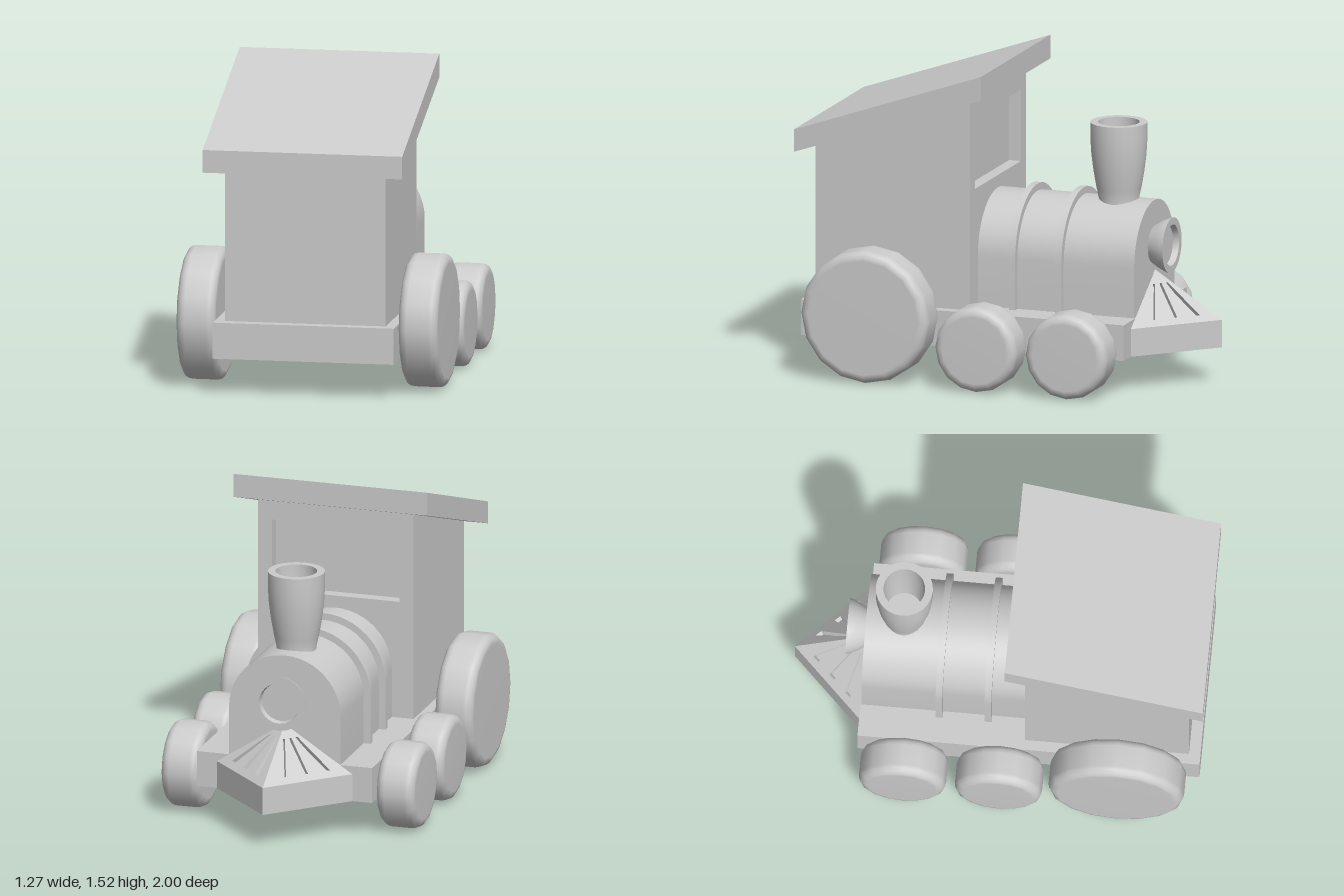
import * as THREE from 'three';
import { toCreasedNormals } from 'three/addons/utils/BufferGeometryUtils.js';
import { ConvexGeometry } from 'three/addons/geometries/ConvexGeometry.js';

const material = new THREE.MeshStandardMaterial({ color: 0xcccccc });
const V3 = (x, y, z) => new THREE.Vector3(x, y, z);
const polygon = (pts) => new THREE.Shape(pts.map(([x, y]) => new THREE.Vector2(x, y)));
const extrude = (shape, depth, curveSegments = 12) =>
  new THREE.ExtrudeGeometry(shape, { depth, bevelEnabled: false, curveSegments });

// Side outline given as [z, y], extruded across the full width
function sideProfile(pts, width) {
  return extrude(polygon(pts), width).rotateY(-Math.PI / 2).translate(width / 2, 0, 0);
}

function lathe(pts, segments, crease) {
  const geometry = new THREE.LatheGeometry(pts.map(([r, y]) => new THREE.Vector2(r, y)), segments);
  return crease ? toCreasedNormals(geometry, crease) : geometry;
}

// Round-topped section standing on the chassis, running along z
function archGeometry(radius, z, length) {
  const shape = new THREE.Shape();
  shape.moveTo(-radius, 0.34);
  shape.lineTo(radius, 0.34);
  shape.lineTo(radius, 0.59);
  shape.absarc(0, 0.59, radius, 0, Math.PI, false);
  shape.closePath();
  return toCreasedNormals(extrude(shape, length, 12), 0.6).translate(0, 0, z);
}

// Wheel with rounded rims, axis along x
function wheelGeometry(radius) {
  const half = 0.096, round = 0.045, pts = [[0, -half]];
  for (const side of [-1, 1]) {
    for (let i = 0; i <= 4; i++) {
      const a = (side < 0 ? i - 4 : i) * Math.PI / 8;
      pts.push([radius - round + round * Math.cos(a), side * (half - round) + round * Math.sin(a)]);
    }
  }
  pts.push([0, half]);
  return lathe(pts, 16).rotateZ(-Math.PI / 2);
}

// Slotted triangular plate: shape coordinates become weights of two edges from the apex
function slottedPlate(apex, p, q, depth) {
  const shape = polygon([[0, 0], [1, 0], [0, 1]]);
  const at = (r, f) => new THREE.Vector2(r * (1 - f), r * f);
  for (const f of [0.22, 0.5, 0.78]) {
    const w = 0.042;
    shape.holes.push(new THREE.Path([
      at(0.25, f - w), at(0.25, f + w), at(0.88, f + w), at(0.88, f - w),
    ]));
  }
  const geometry = extrude(shape, depth);
  const e1 = p.clone().sub(apex), e2 = q.clone().sub(apex);
  const normal = e1.clone().cross(e2).normalize();
  const pos = geometry.attributes.position;
  for (let i = 0; i < pos.count; i++) {
    const v = apex.clone().addScaledVector(e1, pos.getX(i)).addScaledVector(e2, pos.getY(i))
      .addScaledVector(normal, pos.getZ(i) - depth);
    pos.setXYZ(i, v.x, v.y, v.z);
  }
  geometry.computeVertexNormals();
  return geometry;
}

export function createModel() {
  const model = new THREE.Group();
  model.name = 'toyLocomotive';
  const add = (name, geometry, x = 0, y = 0, z = 0, parent = model) => {
    const mesh = new THREE.Mesh(geometry, material);
    mesh.name = name;
    mesh.position.set(x, y, z);
    parent.add(mesh);
    return mesh;
  };

  add('chassis', new THREE.BoxGeometry(0.88, 0.175, 1.64), 0, 0.2625, 0.16);

  // Cab: solid body, framed window wall and sloping roof
  const cab = new THREE.Group();
  cab.name = 'cab';
  model.add(cab);
  add('cabBody', sideProfile([[0.2, 0.34], [0.925, 0.34], [0.925, 1.12], [0.2, 1.37]], 0.78), 0, 0, 0, cab);
  const wall = polygon([[-0.39, 0.34], [0.39, 0.34], [0.39, 1.385], [-0.39, 1.385]]);
  wall.holes.push(polygon([[-0.32, 0.93], [-0.32, 1.28], [0.32, 1.28], [0.32, 0.93]]));
  add('cabWindowWall', extrude(wall, 0.06), 0, 0, 0.14, cab);
  add('roof', sideProfile([[0.05, 1.405], [1, 1.08], [1, 1.19], [0.05, 1.52]], 0.97), 0, 0, 0, cab);

  // Boiler with two raised bands
  add('boiler', archGeometry(0.28, -0.655, 0.8));
  for (const z of [-0.297, -0.062]) add('boilerBand', archGeometry(0.314, z, 0.032));

  // Flared, hollow chimney
  add('chimney', lathe([
    [0.1, 0.82], [0.095, 0.86], [0.108, 0.92], [0.122, 1.0], [0.132, 1.08], [0.137, 1.16], [0.137, 1.24],
    [0.1, 1.24], [0.1, 1.12], [0.085, 0.95], [0, 0.95],
  ], 24, 0.9), 0, 0, -0.475);

  // Headlamp with a recessed lens
  add('headlamp', lathe([
    [0.085, -0.01], [0.1, 0.015], [0.118, 0.045], [0.131, 0.075], [0.135, 0.09],
    [0.1, 0.09], [0.095, 0.06], [0, 0.06],
  ], 24, 0.7).rotateX(-Math.PI / 2), 0, 0.655, -0.655);

  // Cowcatcher: pointed base, slotted sloping plates and an inner core
  const catcher = new THREE.Group();
  catcher.name = 'cowcatcher';
  model.add(catcher);
  add('cowcatcherBase', extrude(polygon([[-0.34, 0.65], [0.34, 0.65], [0.34, 0.66], [0, 1], [-0.34, 0.66]]), 0.135)
    .rotateX(-Math.PI / 2), 0, 0.175, 0, catcher);
  const apex = V3(0, 0.53, -0.66), tip = V3(0, 0.31, -1);
  const left = V3(0.34, 0.31, -0.66), right = V3(-0.34, 0.31, -0.66);
  add('slottedPlateLeft', slottedPlate(apex, left, tip, 0.022), 0, 0, 0, catcher);
  add('slottedPlateRight', slottedPlate(apex, tip, right, 0.022), 0, 0, 0, catcher);
  add('cowcatcherCore', new ConvexGeometry([apex, tip, left, right]), 0, -0.03, 0, catcher);

  // Wheels: one large and two small on each side
  for (const [name, radius, z] of [
    ['rearWheel', 0.325, 0.595], ['middleWheel', 0.209, 0.03], ['leadingWheel', 0.209, -0.43],
  ]) {
    const geometry = wheelGeometry(radius);
    for (const side of [-1, 1]) add(name, geometry, side * 0.54, radius + 0.003, z);
  }
  return model;
}
